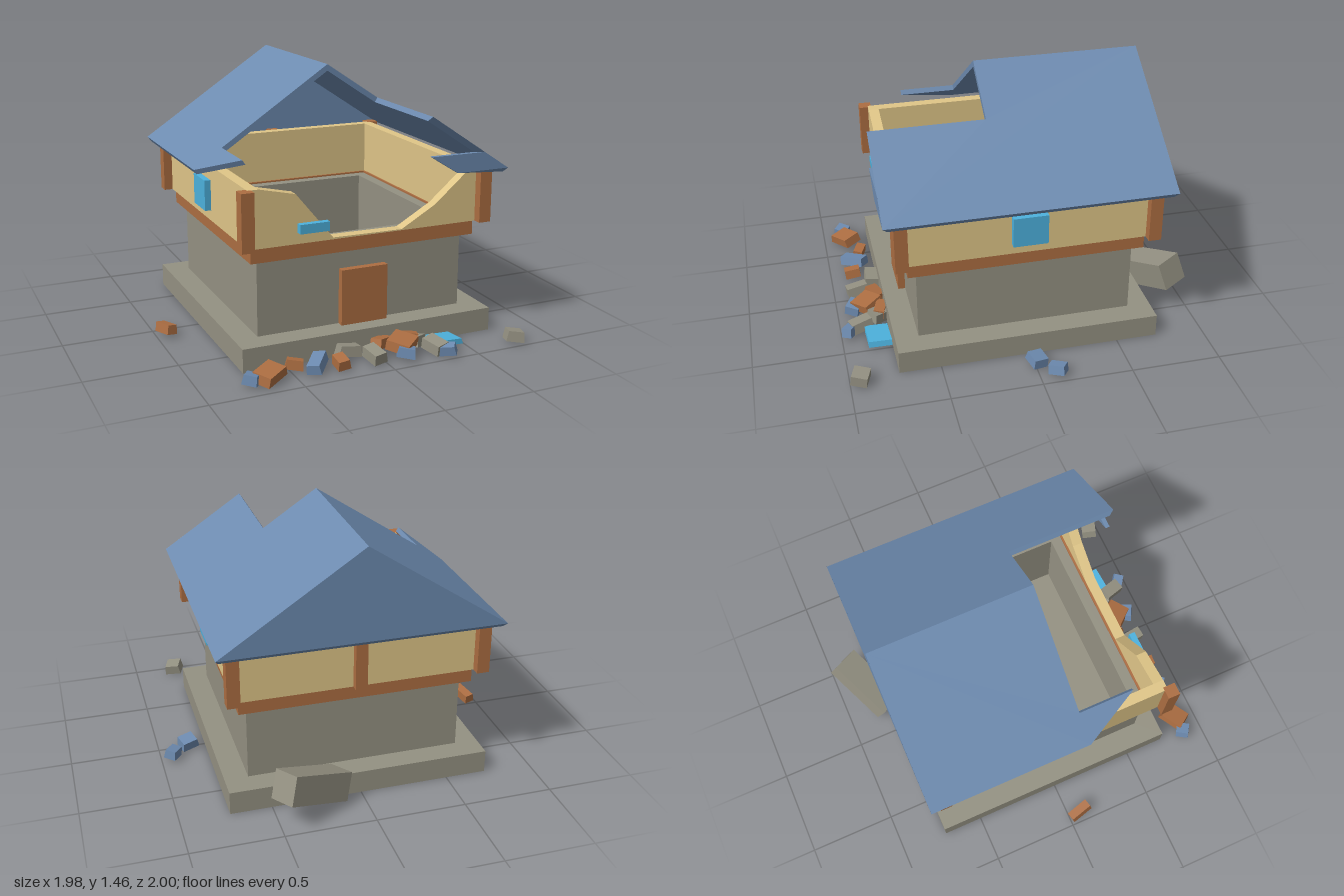
import * as THREE from 'three';

const mat = (name, color) => {
  const m = new THREE.MeshStandardMaterial({ color });
  m.name = name;
  return m;
};

export function createModel() {
  const root = new THREE.Group();
  root.name = 'ruinedHouse';
  const stone = mat('stone', 0x949182);
  const wood = mat('wood', 0xad6e42);
  const plaster = mat('plaster', 0xe0c688);
  const blue = mat('roofBlue', 0x6d8bb0);
  const glass = mat('glass', 0x4db2de);

  const add = (name, geo, material, parent = root) => {
    const mesh = new THREE.Mesh(geo, material);
    mesh.name = name;
    parent.add(mesh);
    return mesh;
  };
  // Box given by its min and max corners
  const box = (name, material, x0, x1, y0, y1, z0, z1) => {
    const m = add(name, new THREE.BoxGeometry(x1 - x0, y1 - y0, z1 - z0), material);
    m.position.set((x0 + x1) / 2, (y0 + y1) / 2, (z0 + z1) / 2);
    return m;
  };
  const shapeOf = (pts) => new THREE.Shape(pts.map(([x, y]) => new THREE.Vector2(x, y)));
  const plate = (pts, depth) =>
    new THREE.ExtrudeGeometry(shapeOf(pts), { depth, bevelEnabled: false });
  const square = (r) => [[-r, -r], [r, -r], [r, r], [-r, r]];
  // Hollow square ring of walls
  const ring = (name, material, outer, inner, y0, y1) => {
    const s = shapeOf(square(outer));
    s.holes.push(shapeOf(square(inner)));
    const g = new THREE.ExtrudeGeometry(s, { depth: y1 - y0, bevelEnabled: false });
    g.rotateX(-Math.PI / 2).translate(0, y0, 0);
    add(name, g, material);
  };

  // Foundation (hollow underneath), lower storey and timber belt
  ring('foundationSides', stone, 0.73, 0.725, 0, 0.125);
  box('foundationTop', stone, -0.73, 0.73, 0.125, 0.13, -0.73, 0.73);
  ring('lowerWalls', stone, 0.6, 0.535, 0.13, 0.62);
  ring('timberBelt', wood, 0.65, 0.598, 0.548, 0.63);
  box('door', wood, -0.135, 0.135, 0.13, 0.44, 0.59, 0.64);

  // Upper storey: whole side and back walls, broken front wall
  for (const s of [-1, 1]) {
    const wall = box('sideWall', plaster, -0.03, 0.03, 0.63, 0.94, -0.67, 0.67);
    wall.position.x = s * 0.64;
    const pane = box('sideWindow', glass, -0.025, 0.025, 0.69, 0.86, -0.095, 0.095);
    pane.position.x = s * 0.68;
    for (const t of [-1, 1]) {
      const post = box('cornerPost', wood, -0.035, 0.035, 0.63, 0.94, -0.035, 0.035);
      post.position.x = s * 0.685;
      post.position.z = t * 0.685;
    }
  }
  box('backWall', plaster, -0.61, 0.61, 0.63, 0.94, -0.67, -0.61);
  box('backPost', wood, -0.033, 0.033, 0.63, 0.94, -0.71, -0.66);
  const brokenWall = plate([
    [-0.61, 0.63], [0.61, 0.63], [0.61, 0.93], [0.6, 0.92], [0.4, 0.75],
    [0.2, 0.636], [-0.2, 0.64], [-0.41, 0.895], [-0.61, 0.94],
  ], 0.06);
  add('brokenFrontWall', brokenWall, plaster).position.z = 0.61;
  box('brokenFrontWindow', glass, -0.4, -0.235, 0.69, 0.74, 0.67, 0.705);

  // Roof slopes, outlined in plan (distance from ridge, z) and laid on the pitch;
  // the underside is drawn in at the gable ends
  const c = 0.832, n = 0.555, thick = 0.03;
  const slope = (name, side, plan) => {
    const g = plate(plan.map(([x, z]) => [x / c, z]), thick);
    const p = g.attributes.position;
    for (let i = 0; i < p.count; i++) {
      const under = (p.getZ(i) > thick / 2) === side > 0;
      if (under) p.setY(i, THREE.MathUtils.clamp(p.getY(i), -0.755, 0.755));
    }
    if (side < 0) g.translate(0, 0, -thick);
    const m = new THREE.Matrix4().makeBasis(
      new THREE.Vector3(side * c, -n, 0),
      new THREE.Vector3(0, 0, 1),
      new THREE.Vector3(-n, -side * c, 0),
    );
    g.applyMatrix4(m).translate(0, 1.46, 0);
    g.computeVertexNormals();
    add(name, g, blue);
  };
  slope('rightSlope', 1, [[0, -0.78], [0.78, -0.78], [0.78, 0.78], [0.31, 0.78], [0.31, 0.15], [0, 0.15]]);
  slope('leftSlope', -1, [[0, -0.78], [0.78, -0.78], [0.78, 0.15], [0.62, 0.47], [0.62, 0.15], [0, 0.15]]);

  // Gable plates whose inner outline differs from the outer one
  const gable = (name, end, outer, inner) => {
    const g = plate(outer, 1);
    const p = g.attributes.position;
    for (let i = 0; i < p.count; i++) {
      const isOuter = (p.getZ(i) > 0.5) === end > 0;
      const k = outer.findIndex(([x, y]) => Math.hypot(x - p.getX(i), y - p.getY(i)) < 1e-4);
      const [x, y] = (isOuter ? outer : inner)[k];
      p.setXYZ(i, x, y, end * (isOuter ? 0.78 : 0.755));
    }
    g.computeVertexNormals();
    add(name, g, blue);
  };
  gable('backGable', -1,
    [[-0.78, 0.94], [0.78, 0.94], [0, 1.46]],
    [[-0.763, 0.915], [0.763, 0.915], [0, 1.424]]);
  gable('frontGableShard', 1,
    [[0.47, 0.94], [0.78, 0.94], [0.63, 1.04], [0.31, 1.04]],
    [[0.47, 0.94], [0.763, 0.915], [0.576, 1.04], [0.31, 1.04]]);

  // Large fallen block leaning on the back of the foundation
  const block = add('fallenBlock', new THREE.BoxGeometry(0.405, 0.16, 0.162), stone);
  const ax = new THREE.Vector3(0.34, 0.135, -0.16).normalize();
  const az = new THREE.Vector3(0.08, -0.02, 0.14).normalize();
  const ay = new THREE.Vector3().crossVectors(az, ax).normalize();
  az.crossVectors(ax, ay);
  block.quaternion.setFromRotationMatrix(new THREE.Matrix4().makeBasis(ax, ay, az));
  block.position.set(0.305, 0.167, -0.828);

  // Rubble pieces: x, z, width, depth, turn; each is tapered and rests tilted on
  // the ground, and timber in the middle lies on top of the heap
  const rubble = new THREE.Group();
  rubble.name = 'rubble';
  root.add(rubble);
  const scatter = (name, material, height, tilt, pieces) =>
    pieces.forEach(([x, z, w, d, turn], i) => {
      const g = new THREE.BoxGeometry(w, height, d);
      const p = g.attributes.position;
      for (let k = 0; k < p.count; k++) if (p.getY(k) > 0) p.setX(k, p.getX(k) * 0.85);
      g.computeVertexNormals();
      const r = add(name, g, material, rubble);
      const a = i % 2 ? tilt : -tilt;
      const lift = material === wood && Math.abs(x - 0.12) < 0.1 ? 0.02 : 0;
      r.position.set(x, height / 2 + (tilt / 2) * (w + d) + lift, z);
      r.rotation.set(a, turn, a, 'YXZ');
    });
  scatter('timberRubble', wood, 0.052, 0.13, [
    [-0.94, 0.07, 0.06, 0.135, 0.25],
    [-0.64, 0.87, 0.16, 0.11, 0.6],
    [-0.475, 0.8, 0.1, 0.055, -0.4],
    [-0.245, 0.87, 0.07, 0.09, 0],
    [0.04, 0.77, 0.12, 0.07, 0.5],
    [0.13, 0.83, 0.15, 0.13, 0.7],
    [0.2, 0.76, 0.12, 0.06, -0.3],
  ]);
  scatter('roofRubble', blue, 0.052, 0.14, [
    [0.83, -0.01, 0.1, 0.085, 0.3],
    [0.93, -0.1, 0.07, 0.09, -0.6],
    [-0.74, 0.88, 0.08, 0.075, -0.6],
    [-0.37, 0.845, 0.08, 0.15, -0.65],
    [0.12, 0.9, 0.1, 0.08, -0.5],
    [0.34, 0.95, 0.09, 0.06, -0.6],
  ]);
  scatter('stoneRubble', stone, 0.058, 0.13, [
    [-0.155, 0.76, 0.13, 0.09, -0.05],
    [-0.05, 0.865, 0.08, 0.12, 0.15],
    [0.23, 0.78, 0.09, 0.09, 0.6],
    [0.3, 0.885, 0.09, 0.12, 0.3],
    [0.76, 0.94, 0.1, 0.09, -0.35],
  ]);
  scatter('glassRubble', glass, 0.03, 0.06, [[0.4, 0.8, 0.17, 0.13, 0.05]]);

  return root;
}
